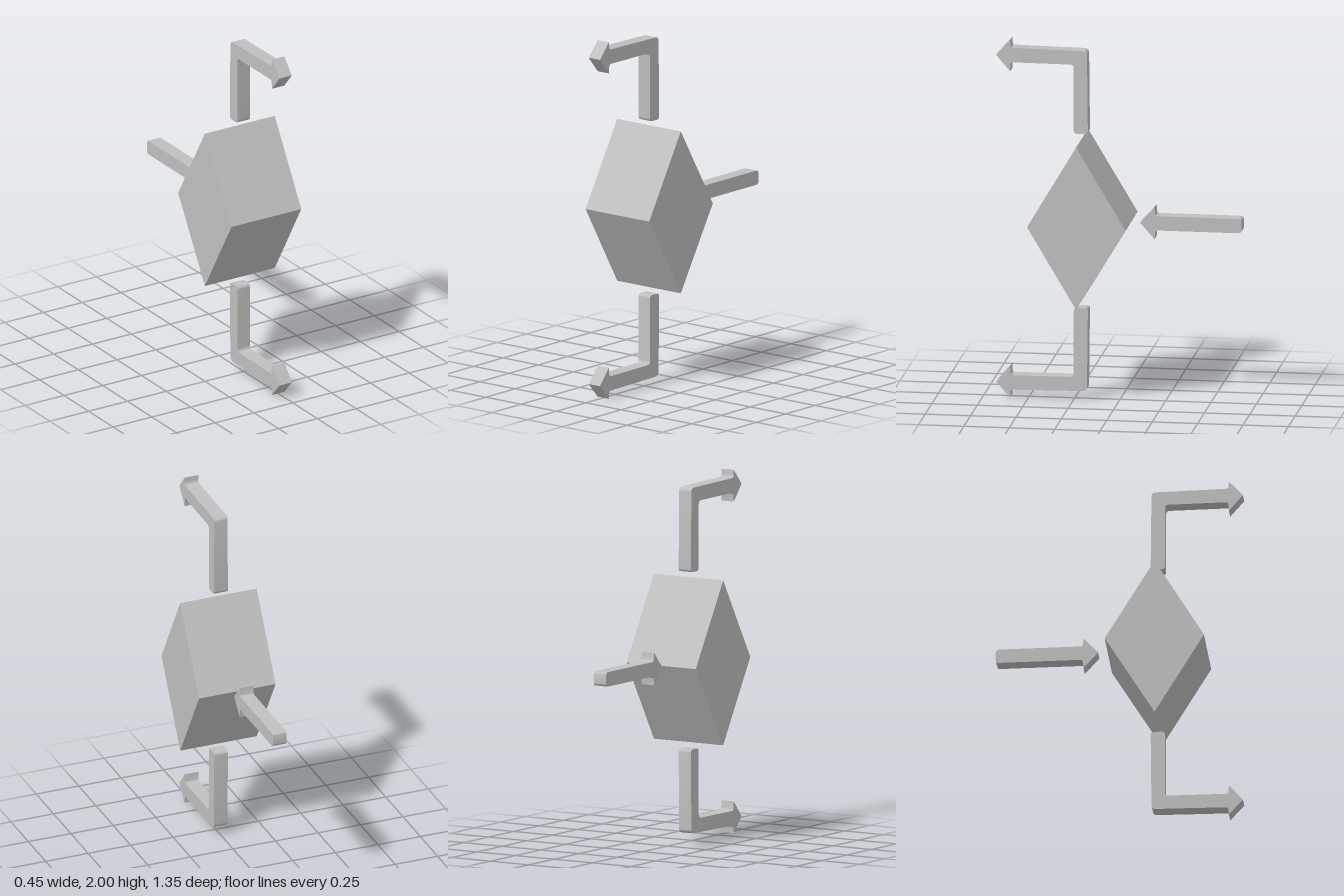
import * as THREE from 'three';
import { toCreasedNormals } from 'three/addons/utils/BufferGeometryUtils.js';

const grey = new THREE.MeshStandardMaterial({ color: 0xc0c0c0 });
grey.name = 'grey';

// Closed outline from [z, y, cornerRadius] points
function outline(points) {
  const shape = new THREE.Shape();
  const n = points.length;
  points.forEach(([z, y, r = 0], i) => {
    const p = new THREE.Vector2(z, y);
    const toward = (q) => new THREE.Vector2(q[0], q[1]).sub(p).setLength(r).add(p);
    const a = toward(points[(i + n - 1) % n]);
    const b = toward(points[(i + 1) % n]);
    if (i === 0) shape.moveTo(a.x, a.y);
    else shape.lineTo(a.x, a.y);
    if (r > 0) shape.quadraticCurveTo(p.x, p.y, b.x, b.y);
  });
  shape.closePath();
  return shape;
}

// Side outline extruded across x, centred on x = 0
function sidePart(name, points, width) {
  const geo = new THREE.ExtrudeGeometry(outline(points), {
    depth: width, bevelEnabled: false, curveSegments: 5,
  });
  geo.translate(0, 0, -width / 2);
  geo.rotateY(-Math.PI / 2);
  const mesh = new THREE.Mesh(toCreasedNormals(geo, 0.6), grey);
  mesh.name = name;
  return mesh;
}

export function createModel() {
  const group = new THREE.Group();
  const arrowWidth = 0.08;

  // Diamond prism in the middle
  group.add(sidePart('diamondBlock', [
    [0.48, 1], [0.21, 0.547], [-0.063, 1], [0.21, 1.455],
  ], 0.45));

  // Bent arrow: stem, elbow, shaft and head
  const bent = [
    [0.172, 1.488, 0.018], [0.177, 1.951, 0.025], [0.597, 1.957, 0.015],
    [0.6, 2], [0.677, 1.915], [0.6, 1.825],
    [0.597, 1.876, 0.015], [0.25, 1.874, 0.02], [0.25, 1.488, 0.018],
  ];
  group.add(sidePart('upperArrow', bent, arrowWidth));
  group.add(sidePart('lowerArrow', bent.map(([z, y, r]) => [z, 2 - y, r]), arrowWidth));

  // Straight arrow pointing at the block from behind
  group.add(sidePart('rearArrow', [
    [-0.675, 0.962, 0.02], [-0.199, 0.962, 0.015], [-0.195, 0.912],
    [-0.115, 1.003], [-0.195, 1.09], [-0.199, 1.042, 0.015], [-0.675, 1.042, 0.02],
  ], arrowWidth));

  return group;
}
